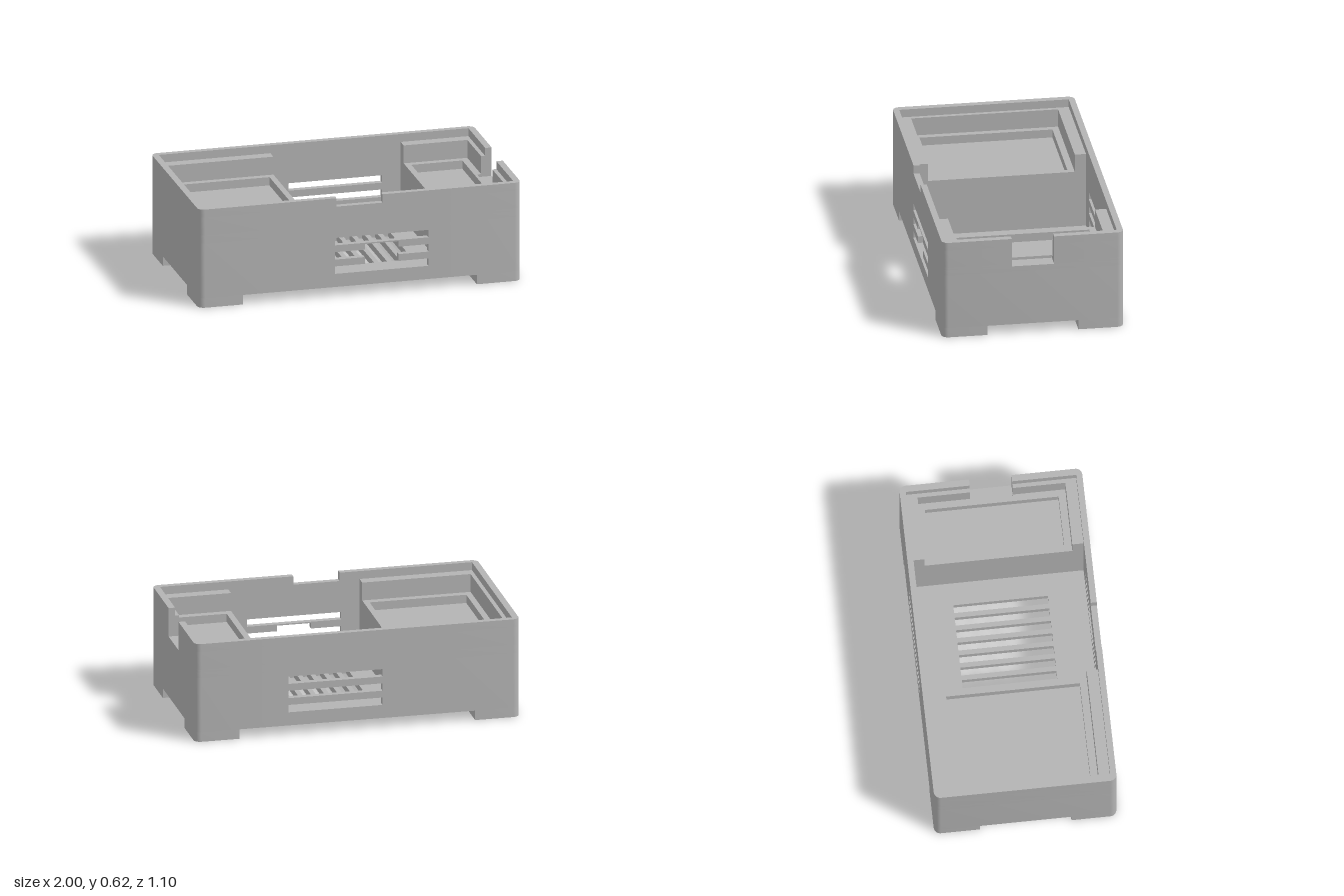
import * as THREE from 'three';
import { toCreasedNormals } from 'three/addons/utils/BufferGeometryUtils.js';

const W = 1, D = 0.55, R = 0.04;               // half width, half depth, corner radius
const FLOOR = 0.06, FLOOR_TOP = 0.1, TOP = 0.62;
const POCKET = 0.405, SHELF = 0.457, LEDGE = 0.57;
const SLOT_Y = 0.44, SLOT_Z = 0.128;           // cable slot in the +x end
const LEFT_X = -0.268, RIGHT_X = 0.54;         // inner faces of the two end blocks

const rect = (x0, y0, x1, y1) => [[x0, y0], [x1, y0], [x1, y1], [x0, y1]];
const vectors = (pts) => pts.map(([x, y]) => new THREE.Vector2(x, y));

// Rounded outer corner, running from the end face to the long face
function corner(sx, sz) {
  const pts = [];
  for (let i = 0; i <= 8; i++) {
    const t = (i / 8) * Math.PI / 2;
    pts.push([sx * (W - R + R * Math.cos(t)), sz * (D - R + R * Math.sin(t))]);
  }
  return pts;
}

function extrude(pts, holes, depth) {
  const shape = new THREE.Shape(vectors(pts));
  for (const h of holes) shape.holes.push(new THREE.Path(vectors(h)));
  return new THREE.ExtrudeGeometry(shape, { depth, bevelEnabled: false });
}

export function createModel() {
  const model = new THREE.Group();
  model.name = 'ventedEnclosure';
  const grey = new THREE.MeshStandardMaterial({ color: 0xb3b3b3 });
  grey.name = 'grey plastic';

  const add = (parent, name, geometry) => {
    const mesh = new THREE.Mesh(toCreasedNormals(geometry, 0.5), grey);
    mesh.name = name;
    parent.add(mesh);
  };
  // Plan outline (x, z) raised from y0 to y1
  const slab = (parent, name, pts, y0, y1, holes = []) =>
    add(parent, name, extrude(pts, holes, y1 - y0).rotateX(Math.PI / 2).translate(0, y1, 0));

  // Corner feet
  for (const sx of [-1, 1]) for (const sz of [-1, 1]) {
    slab(model, 'foot', [[sx * 0.725, sz * 0.275], [sx * W, sz * 0.275],
      ...corner(sx, sz), [sx * 0.725, sz * D]], 0, FLOOR);
  }

  // Vented floor between the end blocks
  const vents = [];
  for (let i = 0; i < 7; i++) {
    const x = -0.13 + i * 0.08;
    vents.push(rect(x, -0.287, x + 0.05, 0.283));
  }
  slab(model, 'ventedFloor', rect(LEFT_X, -D, RIGHT_X, D), FLOOR, FLOOR_TOP, vents);

  // Solid outline of an end block, optionally notched by the cable slot
  const endOutline = (s, xIn, notch = []) => [[xIn, -D], ...corner(s, -1).reverse(),
    ...notch, ...corner(s, 1), [xIn, D]];
  // Half of the U-shaped rim, from the outer wall to an inner offset
  const outerHalf = (s, sz, xIn) => [[xIn, sz * D], ...corner(s, sz).reverse()];
  const rimU = (s, xIn, ix, iz) => [...outerHalf(s, -1, xIn), ...outerHalf(s, 1, xIn).reverse(),
    [xIn, iz], [s * ix, iz], [s * ix, -iz], [xIn, -iz]];
  const rimHalf = (s, sz, xIn, ix, iz, gap) => [...outerHalf(s, sz, xIn),
    [s * W, sz * gap], [s * ix, sz * gap], [s * ix, sz * iz], [xIn, sz * iz]];
  const rims = [[SHELF, LEDGE, 0.935, 0.445, 'steppedLedge'], [LEDGE, TOP, 0.96, 0.513, 'upperRim']];

  // Left-hand (-x) block with shallow tray
  const blockA = new THREE.Group();
  blockA.name = 'wideEndBlock';
  slab(blockA, 'blockBase', endOutline(-1, LEFT_X), FLOOR, POCKET);
  slab(blockA, 'trayRim', endOutline(-1, LEFT_X), POCKET, SHELF, [rect(-0.898, -0.405, -0.303, 0.4)]);
  for (const [y0, y1, ix, iz, name] of rims) slab(blockA, name, rimU(-1, LEFT_X, ix, iz), y0, y1);
  model.add(blockA);

  // +x block with narrow tray and cable slot
  const blockB = new THREE.Group();
  blockB.name = 'narrowEndBlock';
  const tray = [rect(0.577, -0.405, 0.893, 0.4)];
  const notch = [[W, -SLOT_Z], [0.91, -SLOT_Z], [0.91, SLOT_Z], [W, SLOT_Z]];
  slab(blockB, 'blockBase', endOutline(1, RIGHT_X), FLOOR, POCKET);
  slab(blockB, 'trayRim', endOutline(1, RIGHT_X), POCKET, SLOT_Y, tray);
  slab(blockB, 'slottedTrayRim', endOutline(1, RIGHT_X, notch), SLOT_Y, SHELF, tray);
  for (const [y0, y1, ix, iz, name] of rims) for (const sz of [-1, 1]) {
    slab(blockB, name, rimHalf(1, sz, RIGHT_X, ix, iz, SLOT_Z), y0, y1);
  }
  model.add(blockB);

  // Long walls of the middle bay, with three louvre slots each
  const wall = D - 0.513;
  const louvre = (y) => rect(-0.155, y, 0.425, y + 0.047);
  add(model, 'backWall', extrude(rect(LEFT_X, FLOOR_TOP, RIGHT_X, TOP),
    [louvre(0.143), louvre(0.233), louvre(0.323)], wall).translate(0, 0, -D));

  // Front wall: lower slots joined by a port opening, notch in the top edge
  const port = [[-0.155, 0.143], [0.425, 0.143], [0.425, 0.19], [0.24, 0.19], [0.24, 0.233],
    [0.425, 0.233], [0.425, 0.28], [0.24, 0.28], [0.24, 0.315], [0.03, 0.315], [0.03, 0.28],
    [-0.155, 0.28], [-0.155, 0.233], [0.03, 0.233], [0.03, 0.19], [-0.155, 0.19]];
  const front = [[LEFT_X, FLOOR_TOP], [RIGHT_X, FLOOR_TOP], [RIGHT_X, TOP], [0.14, TOP],
    [0.14, 0.567], [-0.145, 0.567], [-0.145, TOP], [LEFT_X, TOP]];
  add(model, 'frontWall', extrude(front, [port, louvre(0.323)], wall).translate(0, 0, D - wall));

  return model;
}
